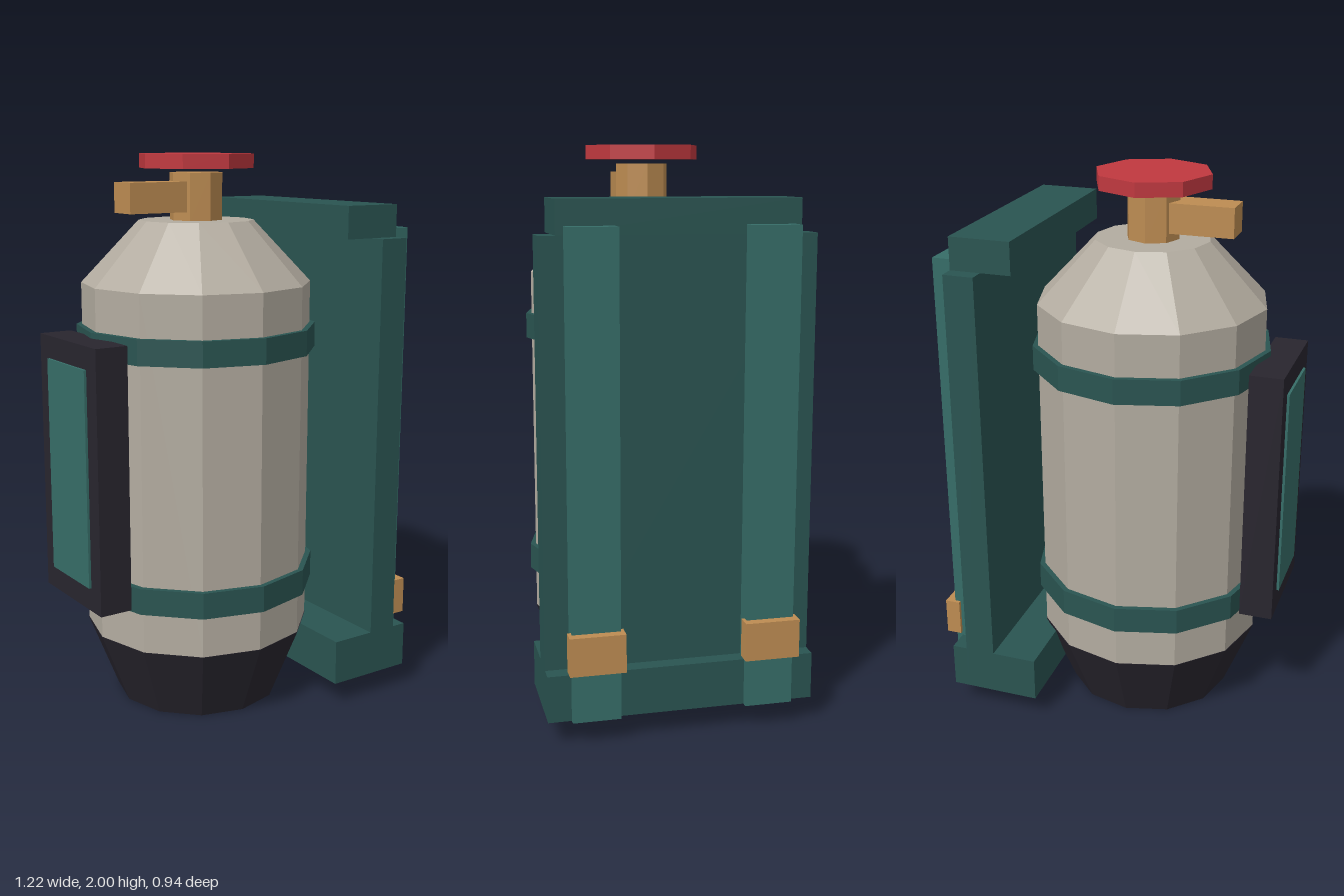
import * as THREE from 'three';

const mat = (color) => new THREE.MeshStandardMaterial({ color, flatShading: true });

export function createModel() {
  const model = new THREE.Group();
  model.name = 'tankWithBackFrame';
  const shell = mat(0xb3aca0), dark = mat(0x28252e), green = mat(0x2a5451);
  const paleGreen = mat(0x366d68), brass = mat(0xbd8c52), red = mat(0xc0383f);
  const axisX = -0.08;

  const add = (name, geometry, material) => {
    const mesh = new THREE.Mesh(geometry, material);
    mesh.name = name;
    model.add(mesh);
    return mesh;
  };
  // Box given by its limits on each axis
  const box = (name, material, [x0, x1], [y0, y1], [z0, z1]) =>
    add(name, new THREE.BoxGeometry(x1 - x0, y1 - y0, z1 - z0), material)
      .position.set((x0 + x1) / 2, (y0 + y1) / 2, (z0 + z1) / 2);
  // Faceted drum on the tank axis
  const drum = (name, material, rTop, rBottom, y0, y1, sides) =>
    add(name, new THREE.CylinderGeometry(rTop, rBottom, y1 - y0, sides), material)
      .position.set(axisX, (y0 + y1) / 2, 0);

  // Tank: tapered foot, body with sloping shoulder, two straps
  drum('tankFoot', dark, 0.415, 0.305, 0, 0.275, 12);
  const profile = [[0, 0.275], [0.413, 0.275], [0.413, 1.55], [0.205, 1.77], [0, 1.77]]
    .map(([r, y]) => new THREE.Vector2(r, y));
  add('tankBody', new THREE.LatheGeometry(profile, 12), shell).position.x = axisX;
  drum('lowerStrap', green, 0.433, 0.433, 0.425, 0.52, 12);
  drum('upperStrap', green, 0.433, 0.433, 1.31, 1.4, 12);

  // Valve: neck, side outlet, hand wheel
  drum('valveNeck', brass, 0.095, 0.095, 1.77, 1.935, 8);
  box('valveOutlet', brass, [-0.38, -0.12], [1.8, 1.905], [-0.055, 0.055]);
  drum('handWheel', red, 0.207, 0.207, 1.95, 2, 8);

  // Side pad with inset panel
  box('sidePad', dark, [-0.605, -0.485], [0.445, 1.38], [-0.205, 0.205]);
  box('sidePadPanel', paleGreen, [-0.614, -0.6], [0.53, 1.3], [-0.137, 0.137]);

  // Carrying frame
  box('framePlate', green, [0.39, 0.5], [0.11, 1.71], [-0.468, 0.468]);
  box('frameTop', green, [0.28, 0.5], [1.71, 1.825], [-0.412, 0.412]);
  box('frameShelf', green, [0.225, 0.555], [0.085, 0.25], [-0.468, 0.468]);

  // Shoulder strips and their buckles, mirrored
  for (const [side, s] of [['front', 1], ['back', -1]]) {
    const span = (a, b) => (s > 0 ? [a, b] : [-b, -a]);
    box(side + 'ShoulderStrip', paleGreen, [0.508, 0.577], [0.085, 1.74], span(0.22, 0.387));
    box(side + 'Buckle', brass, [0.555, 0.61], [0.265, 0.4], span(0.208, 0.4));
  }
  return model;
}
